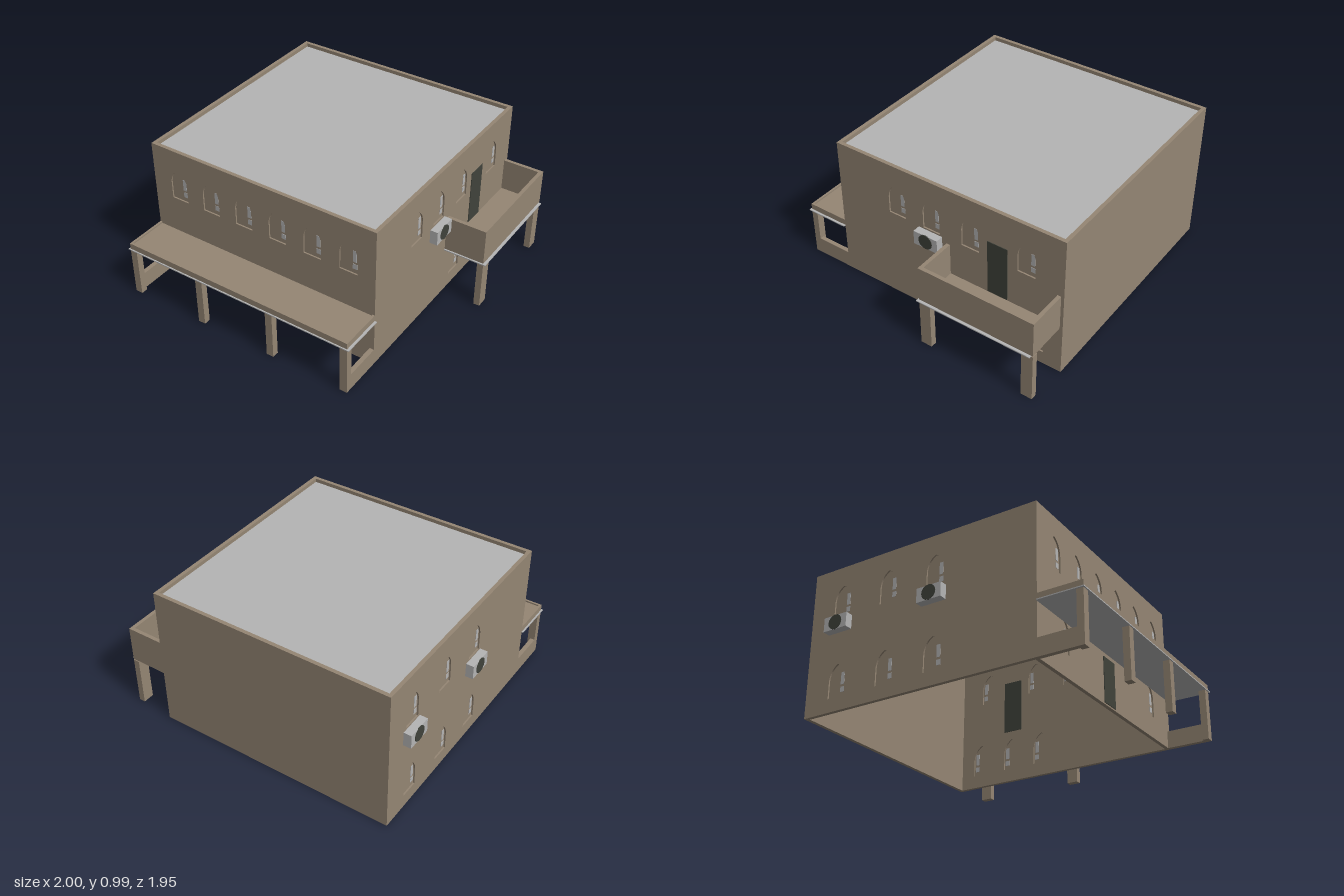
import * as THREE from 'three';

const mat = (name, color) => Object.assign(new THREE.MeshStandardMaterial({ color }), { name });

export function createModel() {
  const plaster = mat('plaster', 0x958674);
  const grey = mat('concrete grey', 0xb5b5b5);
  const dark = mat('dark metal', 0x40433b);
  const model = new THREE.Group();

  const X0 = -0.945, X1 = 0.705, Z0 = -0.975, Z1 = 0.675, H = 0.985, T = 0.025;

  const add = (parent, name, geometry, material) => {
    const mesh = new THREE.Mesh(geometry, material);
    mesh.name = name;
    parent.add(mesh);
    return mesh;
  };
  // Box given by its minimum and maximum corners
  const box = (parent, name, material, a, b) => {
    const mesh = add(parent, name, new THREE.BoxGeometry(b[0] - a[0], b[1] - a[1], b[2] - a[2]), material);
    mesh.position.set((a[0] + b[0]) / 2, (a[1] + b[1]) / 2, (a[2] + b[2]) / 2);
    return mesh;
  };
  const rect = (path, u0, v0, u1, v1) =>
    path.moveTo(u0, v0).lineTo(u1, v0).lineTo(u1, v1).lineTo(u0, v1).closePath();

  // Slightly pointed arch, 0.125 wide and 0.22 high
  const arch = (path, u, v) => {
    const r = 0.0625;
    path.moveTo(u - r, v).lineTo(u + r, v).lineTo(u + r, v + 0.12);
    path.quadraticCurveTo(u + r * 0.9, v + 0.19, u, v + 0.22);
    path.quadraticCurveTo(u - r * 0.9, v + 0.19, u - r, v + 0.12);
    path.closePath();
    return path;
  };
  const extrude = (shape, depth) =>
    new THREE.ExtrudeGeometry(shape, { depth, bevelEnabled: false, curveSegments: 8 });

  // Wall with recessed windows; outer face is local z = 0
  const wall = (name, u0, u1, windows, position, turn) => {
    const group = new THREE.Group();
    group.name = name;
    const shape = new THREE.Shape();
    rect(shape, u0, 0, u1, H);
    for (const [u, v] of windows) shape.holes.push(arch(new THREE.Path(), u, v));
    add(group, name + 'Panel', extrude(shape, T), plaster).position.z = -T;
    for (const [u, v] of windows) {
      add(group, 'windowPane', extrude(arch(new THREE.Shape(), u, v), 0.006), plaster).position.z = -0.016;
      // Pale patches of glass
      box(group, 'glassPatch', grey, [u + 0.025, v + 0.08, -0.018], [u + 0.051, v + 0.16, -0.008]);
      box(group, 'glassPatch', grey, [u + 0.025, v + 0.03, -0.018], [u + 0.055, v + 0.065, -0.008]);
    }
    group.position.set(...position);
    group.rotation.y = turn;
    model.add(group);
    return group;
  };

  // Front wall: six windows above, two below, one door
  const frontWindows = [[-0.66, 0.145], [0.42, 0.145]];
  for (let i = 0; i < 6; i++) frontWindows.push([-0.745 + i * 0.2527, 0.63]);
  const front = wall('frontWall', X0, X1, frontWindows, [0, 0, Z1], 0);
  box(front, 'frontDoor', dark, [-0.19, 0.01, -T - 0.004], [-0.055, 0.31, 0.004]);

  wall('backWall', -X1, -X0, [], [0, 0, Z0], Math.PI);

  // Side walls: u runs along -z on the right part, +z on the other
  const east = wall('leftWall', -Z1 + T, -Z0 - T, [
    [-0.22, 0.63], [0.04, 0.63], [0.325, 0.63], [0.72, 0.63],
    [0.285, 0.09], [0.53, 0.09], [0.785, 0.09],
  ], [X1, 0, 0], Math.PI / 2);
  box(east, 'balconyDoor', dark, [0.45, 0.37, -T - 0.004], [0.59, 0.75, 0.004]);
  const westWindows = [];
  for (const z of [-0.735, -0.375, -0.025]) westWindows.push([z, 0.63], [z, 0.09]);
  wall('rightWall', Z0 + T, Z1 - T, westWindows, [X0, 0, 0], -Math.PI / 2);

  // Flat roof sunk behind the parapet
  box(model, 'roof', grey, [X0 + T, 0.94, Z0 + T], [X1 - T, 0.96, Z1 - T]);

  // Air conditioners with round fans
  for (const [side, z] of [[1, -0.03], [-1, -0.03], [-1, -0.74]]) {
    const unit = new THREE.Group();
    unit.name = 'airConditioner';
    box(unit, 'unitCase', grey, [-0.0875, 0.525, 0], [0.0875, 0.62, 0.052]);
    const fan = add(unit, 'unitFan', new THREE.CylinderGeometry(0.05, 0.05, 0.006, 16), dark);
    fan.rotation.x = Math.PI / 2;
    fan.position.set(0, 0.574, 0.052);
    unit.position.set(side > 0 ? X1 : X0, 0, z);
    unit.rotation.y = side * Math.PI / 2;
    model.add(unit);
  }

  // Porch: roof tray, rim, thin slab, posts and open side panels
  const porch = new THREE.Group();
  porch.name = 'porch';
  model.add(porch);
  const PZ = 0.965;
  box(porch, 'porchSlab', grey, [X0 - 0.01, 0.338, Z1], [X1 + 0.015, 0.345, PZ + 0.008]);
  box(porch, 'porchRoof', plaster, [X0, 0.345, Z1], [X1, 0.376, PZ]);
  box(porch, 'porchRim', plaster, [X0, 0.376, PZ - 0.015], [X1, 0.386, PZ]);
  for (const x of [X0, X1 - 0.015])
    box(porch, 'porchRim', plaster, [x, 0.376, Z1], [x + 0.015, 0.386, PZ - 0.015]);
  for (const x of [X0, -0.415, 0.12, X1 - 0.05])
    box(porch, 'porchPost', plaster, [x, 0, PZ - 0.045], [x + 0.05, 0.338, PZ]);
  for (const x of [X0, X1 - 0.03])
    box(porch, 'porchSideWall', plaster, [x, 0, Z1], [x + 0.03, 0.115, PZ - 0.045]);

  // Balcony on posts
  const balcony = new THREE.Group();
  balcony.name = 'balcony';
  model.add(balcony);
  const BX = 0.98, BZ0 = -0.955, BZ1 = -0.15, R = 0.025;
  box(balcony, 'balconySlab', grey, [X1, 0.338, BZ0 + 0.012], [BX + 0.018, 0.345, BZ1 + 0.01]);
  box(balcony, 'balconyFloor', plaster, [X1, 0.345, BZ0], [BX, 0.365, BZ1]);
  box(balcony, 'balconyCeiling', plaster, [X1 + 0.04, 0.334, BZ0 + 0.09], [BX - 0.045, 0.338, BZ1 - 0.09]);
  box(balcony, 'balconyRail', plaster, [BX - R, 0.365, BZ0], [BX, 0.588, BZ1]);
  for (const z of [BZ0, BZ1 - R])
    box(balcony, 'balconyRail', plaster, [X1, 0.365, z], [BX - R, 0.588, z + R]);
  for (const z of [BZ0, BZ1 - 0.078])
    box(balcony, 'balconyPost', plaster, [BX - 0.042, 0, z], [BX, 0.338, z + 0.078]);

  return model;
}
